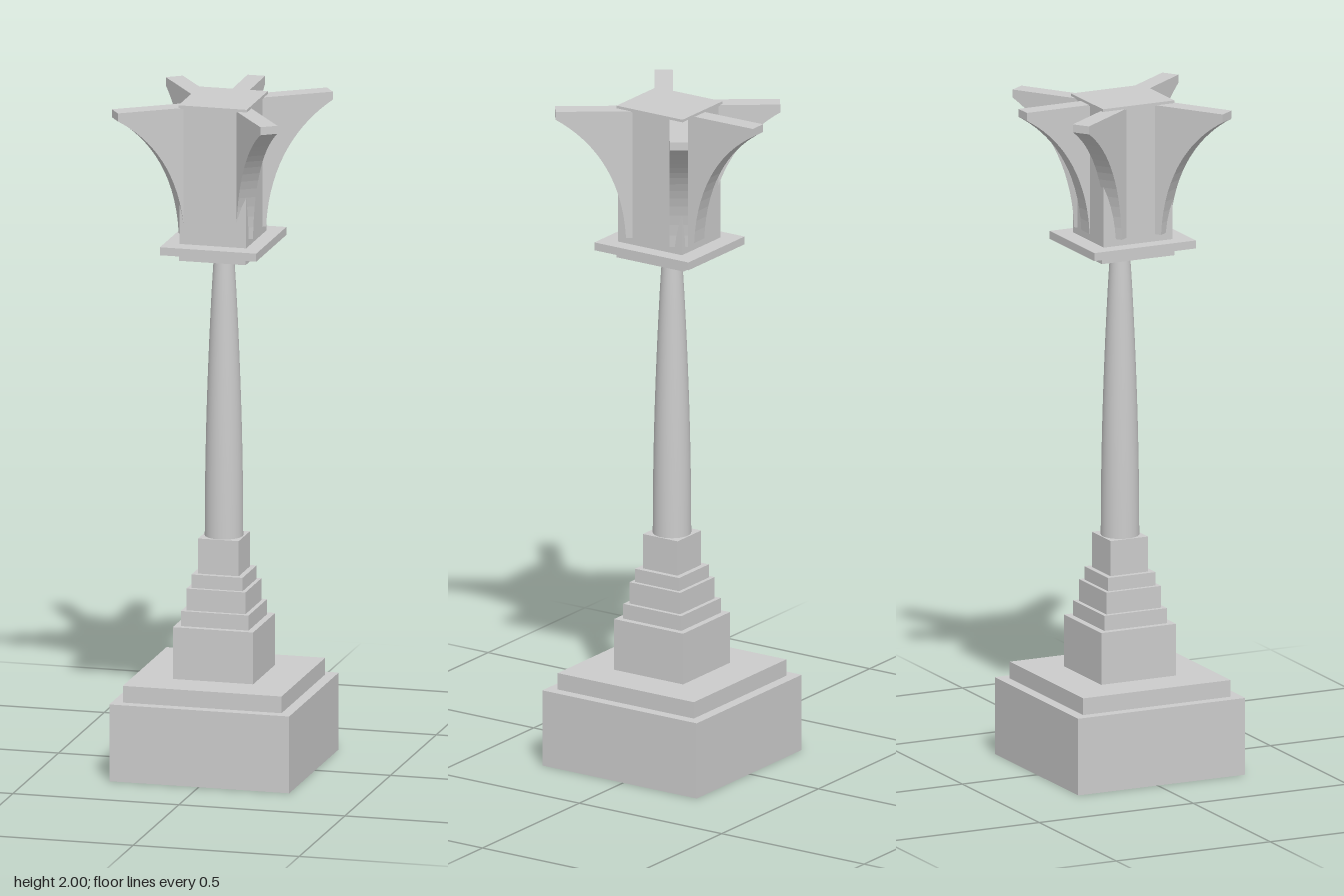
import * as THREE from 'three';

const material = new THREE.MeshStandardMaterial({ color: 0xcccccc });

export function createModel() {
  const group = new THREE.Group();
  const add = (name, geometry, x = 0, y = 0, z = 0) => {
    const mesh = new THREE.Mesh(geometry, material);
    mesh.name = name;
    mesh.position.set(x, y, z);
    group.add(mesh);
    return mesh;
  };
  const cx = 0.002, cz = 0.013;

  // Rectangular slab given by its half sizes and height range
  const slab = (name, hx, hz, y0, y1, z = cz) =>
    add(name, new THREE.BoxGeometry(hx * 2, y1 - y0, hz * 2), cx, (y0 + y1) / 2, z);

  // Stepped pedestal: half width, bottom, top
  [
    [0.271, 0, 0.23],
    [0.239, 0.23, 0.28],
    [0.121, 0.28, 0.435],
    [0.102, 0.435, 0.48],
    [0.089, 0.48, 0.545],
    [0.077, 0.545, 0.585],
    [0.061, 0.585, 0.69],
  ].forEach(([h, y0, y1], i) => slab('pedestalStep' + (i + 1), h, h, y0, y1));

  // Round shaft, swelling gently towards the foot
  const swell = new THREE.SplineCurve([
    [0.056, 0.69], [0.055, 0.85], [0.051, 1.05], [0.044, 1.25], [0.036, 1.42], [0.029, 1.535],
  ].map(([r, y]) => new THREE.Vector2(r, y)));
  add('shaft', new THREE.LatheGeometry(swell.getPoints(16), 40), cx, 0, cz);

  // Capital plates, core block and cover
  slab('lowerCapitalPlate', 0.1, 0.118, 1.535, 1.56, 0.022);
  slab('upperCapitalPlate', 0.145, 0.165, 1.56, 1.584, 0.022);
  slab('capitalCore', 0.1, 0.112, 1.584, 1.99, 0.022);
  slab('capitalCover', 0.103, 0.116, 1.99, 2, 0.022);

  // Curved bracket: local x points inward from the tip
  const profile = new THREE.Shape();
  profile.moveTo(0, 1.992);
  profile.lineTo(0, 1.968);
  profile.bezierCurveTo(0.1, 1.91, 0.195, 1.8, 0.205, 1.605);
  profile.lineTo(0.25, 1.605);
  profile.lineTo(0.25, 1.992);
  const thickness = 0.053;
  const bracket = new THREE.ExtrudeGeometry(profile, {
    depth: thickness, bevelEnabled: false, curveSegments: 16,
  });
  bracket.translate(0, 0, -thickness / 2);

  // Bracket tips and the inward direction of each
  [
    ['backBracket', 0.014, -0.297, 0.01, 1],
    ['backLeftBracket', 0.265, -0.19, -0.825, 0.565],
    ['frontLeftBracket', 0.211, 0.281, -0.583, -0.813],
    ['frontRightBracket', -0.268, 0.226, 0.825, -0.565],
    ['backRightBracket', -0.212, -0.221, 0.583, 0.813],
  ].forEach(([name, x, z, dx, dz]) => {
    add(name, bracket, x, 0, z).rotation.y = Math.atan2(-dz, dx);
  });

  return group;
}
